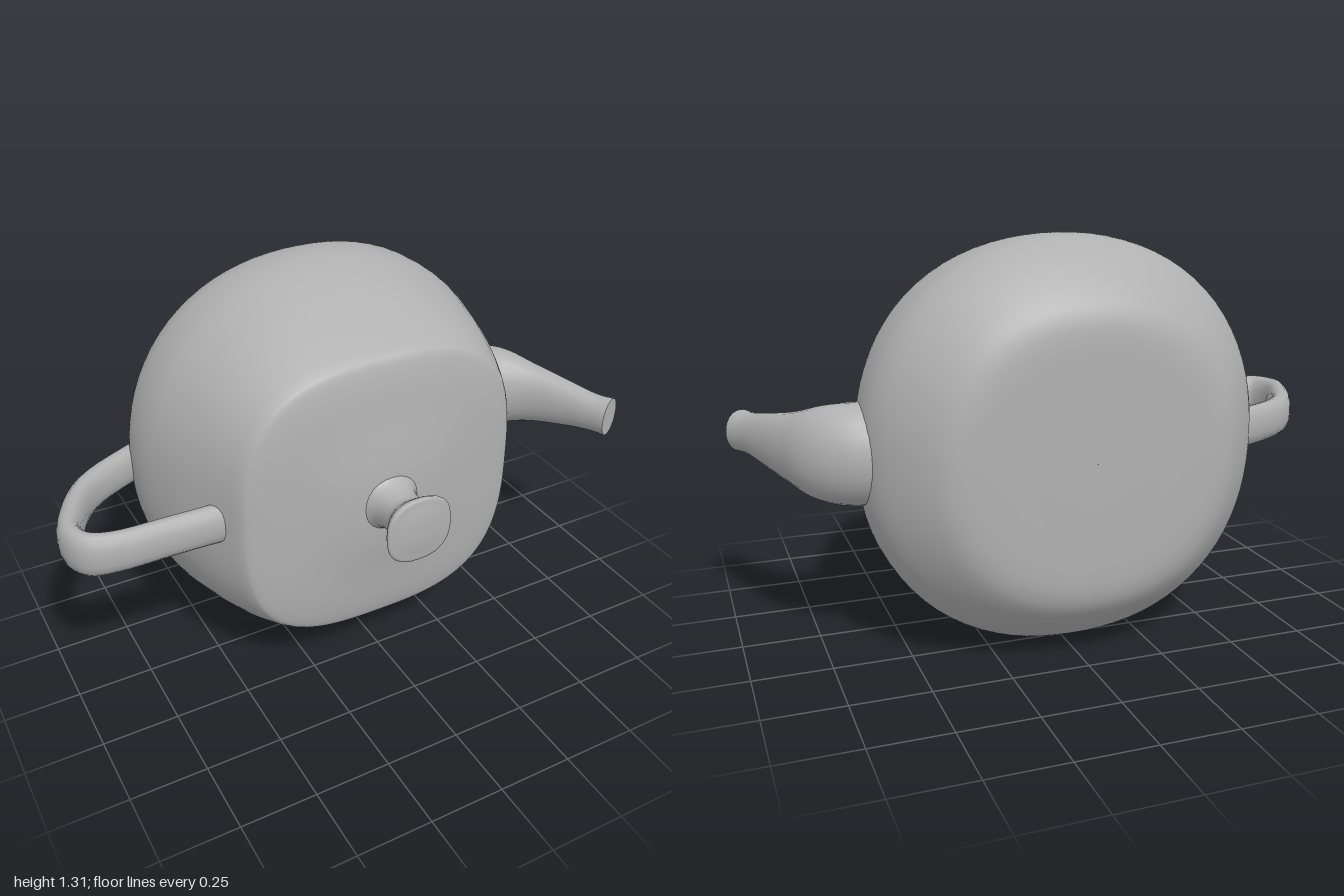
import * as THREE from 'three';

const UP = new THREE.Vector3(0, 1, 0);

// Skin a list of rings; each ring is a superellipse { c, u, v, a, b, n }, travelling along u x v.
function loft(name, rings, sides, material) {
  const pos = [], index = [];
  rings.forEach(({ c, u, v, a, b, n }) => {
    for (let j = 0; j < sides; j++) {
      const t = (j / sides) * Math.PI * 2, cs = Math.cos(t), sn = Math.sin(t);
      const k = Math.pow(Math.abs(cs) ** n + Math.abs(sn) ** n, -1 / n);
      const p = c.clone().addScaledVector(u, a * k * cs).addScaledVector(v, b * k * sn);
      pos.push(p.x, p.y, p.z);
    }
  });
  for (let i = 0; i < rings.length - 1; i++) {
    for (let j = 0; j < sides; j++) {
      const k = (j + 1) % sides;
      const A = i * sides + j, B = i * sides + k, C = A + sides, D = B + sides;
      index.push(A, B, D, A, D, C);
    }
  }
  const geo = new THREE.BufferGeometry();
  geo.setAttribute('position', new THREE.Float32BufferAttribute(pos, 3));
  geo.setIndex(index);
  geo.computeVertexNormals();
  const mesh = new THREE.Mesh(geo, material);
  mesh.name = name;
  return mesh;
}

const smooth = (pts) => new THREE.CatmullRomCurve3(pts, false, 'centripetal');

// Turned form along z from rows of [z, radius, squareness]
function turned(name, rows, x, y, steps, sides, material) {
  const curve = smooth(rows.map((r) => new THREE.Vector3(...r)));
  const rings = curve.getPoints(steps).map((p) => ({
    c: new THREE.Vector3(x, y, p.x),
    u: new THREE.Vector3(1, 0, 0), v: UP,
    a: Math.max(p.y, 0.0005), b: Math.max(p.y, 0.0005), n: p.z,
  }));
  return loft(name, rings, sides, material);
}

// Bent limb in the xz plane from rows of [x, z, half width, half height]
function limb(name, rows, y, n, steps, sides, material) {
  const path = smooth(rows.map(([x, z]) => new THREE.Vector3(x, y, z)));
  const size = new THREE.CatmullRomCurve3(
    rows.map(([, , a, b]) => new THREE.Vector3(a, b, 0)), false, 'catmullrom');
  const rings = [];
  for (let i = 0; i <= steps; i++) {
    const t = i / steps, s = size.getPoint(t), dir = path.getTangent(t);
    rings.push({ c: path.getPoint(t), u: UP.clone().cross(dir).normalize(), v: UP, a: s.x, b: s.y, n });
  }
  // closed ends with a crisp rim
  const cap = (r) => [{ ...r }, { ...r, a: 0.0005, b: 0.0005 }];
  return loft(name, [...cap(rings[0]).reverse(), ...rings, ...cap(rings[steps])], sides, material);
}

export function createModel() {
  const clay = new THREE.MeshStandardMaterial({ color: 0xb0b0b0 });
  clay.name = 'grey clay';
  const model = new THREE.Group();
  model.name = 'teapot';

  // Pot lying on its side: flat base at the back, squarish lid face at the front
  model.add(turned('body', [
    [-0.52, 0, 2.1], [-0.52, 0.2, 2.1], [-0.517, 0.38, 2.1], [-0.505, 0.44, 2.15],
    [-0.48, 0.485, 2.2], [-0.42, 0.55, 2.2], [-0.34, 0.614, 2.2], [-0.27, 0.646, 2.17],
    [-0.2, 0.655, 2.15], [-0.12, 0.648, 2.2], [0, 0.614, 2.3], [0.12, 0.564, 2.55],
    [0.22, 0.515, 2.8], [0.265, 0.49, 2.9], [0.286, 0.465, 3], [0.296, 0.43, 3],
    [0.318, 0.28, 2.6], [0.34, 0.12, 2.2], [0.345, 0, 2],
  ], -0.013, 0.658, 90, 80, clay));

  // Flared lid knob
  model.add(turned('knob', [
    [0.32, 0.12, 2.2], [0.345, 0.09, 2.2], [0.37, 0.076, 2.2], [0.42, 0.068, 2.3],
    [0.45, 0.076, 2.4], [0.49, 0.106, 2.5], [0.505, 0.113, 2.5], [0.514, 0.085, 2.4],
    [0.52, 0.04, 2.2], [0.521, 0, 2],
  ], -0.014, 0.661, 36, 24, clay));

  // Spout, wide at the root and bent toward the front
  model.add(limb('spout', [
    [0.54, -0.17, 0.14, 0.16], [0.64, -0.17, 0.135, 0.16], [0.725, -0.13, 0.11, 0.15],
    [0.8, -0.035, 0.077, 0.115], [0.865, 0.09, 0.058, 0.088], [0.91, 0.19, 0.053, 0.07],
    [0.94, 0.25, 0.058, 0.07],
  ], 0.66, 2.1, 30, 24, clay));

  // Loop handle, a flattened strap
  model.add(limb('handle', [
    [-0.54, -0.32, 0.04, 0.065], [-0.66, -0.27, 0.037, 0.065], [-0.84, -0.165, 0.037, 0.065],
    [-0.93, -0.03, 0.038, 0.068], [-0.962, 0.07, 0.038, 0.073], [-0.935, 0.145, 0.038, 0.073],
    [-0.86, 0.172, 0.036, 0.068], [-0.68, 0.178, 0.036, 0.066], [-0.46, 0.185, 0.038, 0.066],
  ], 0.661, 2.5, 40, 16, clay));

  return model;
}
